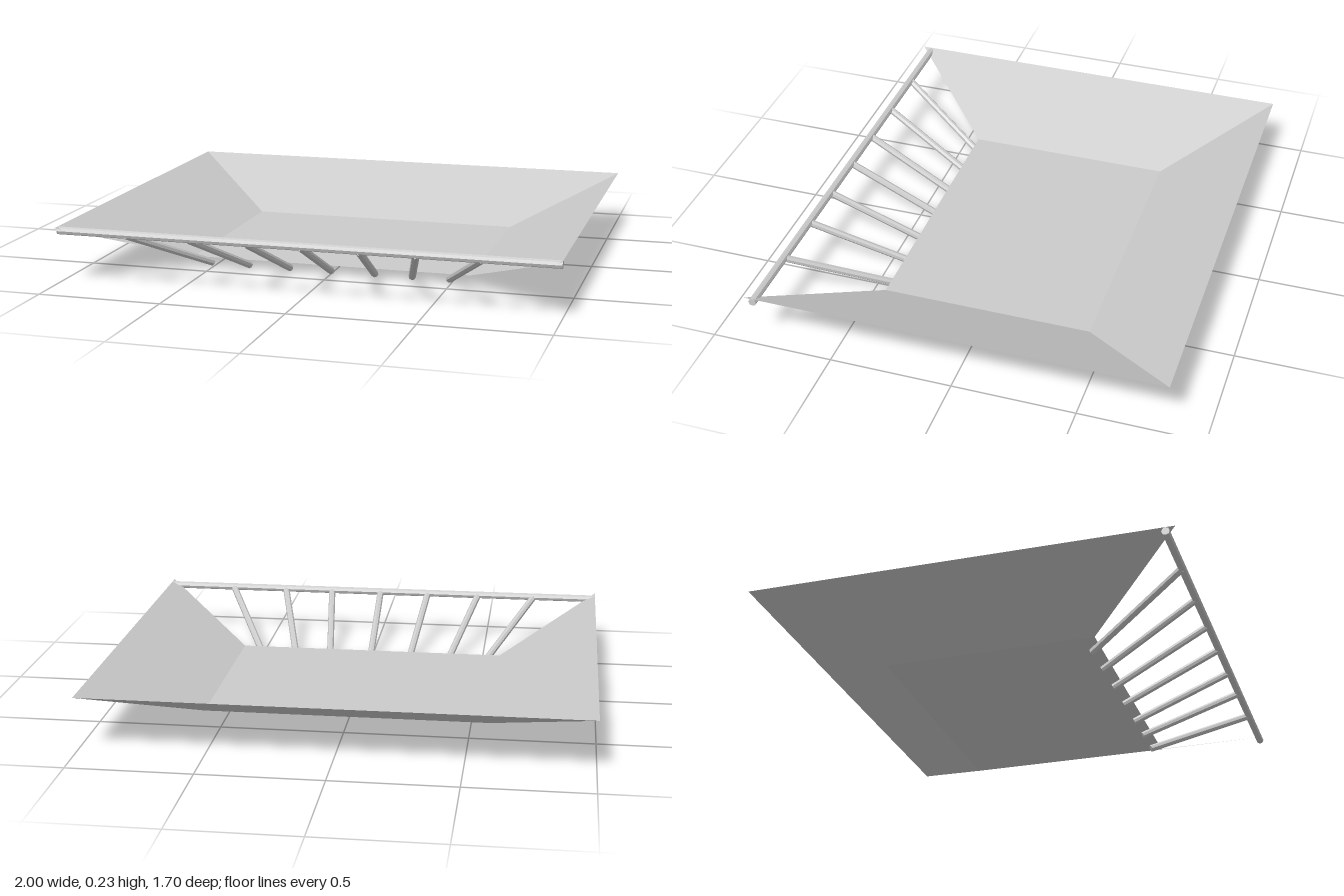
import * as THREE from 'three';

const metal = new THREE.MeshStandardMaterial({ color: 0xcccccc, flatShading: true });
const sheet = new THREE.MeshStandardMaterial({ color: 0xcccccc, flatShading: true, side: THREE.DoubleSide });

// Thin flat panel from four corners
function panel(name, a, b, c, d) {
  const geo = new THREE.BufferGeometry();
  geo.setAttribute('position', new THREE.Float32BufferAttribute([...a, ...b, ...c, ...d], 3));
  geo.setIndex([0, 1, 2, 0, 2, 3]);
  geo.computeVertexNormals();
  const mesh = new THREE.Mesh(geo, sheet);
  mesh.name = name;
  return mesh;
}

// Round rod between two points
function rod(name, from, to, radius) {
  const a = new THREE.Vector3(...from), b = new THREE.Vector3(...to);
  const dir = b.clone().sub(a);
  const mesh = new THREE.Mesh(new THREE.CylinderGeometry(radius, radius, dir.length(), 8), metal);
  mesh.position.copy(a).add(b).multiplyScalar(0.5);
  mesh.quaternion.setFromUnitVectors(new THREE.Vector3(0, 1, 0), dir.normalize());
  mesh.name = name;
  return mesh;
}

export function createModel() {
  const model = new THREE.Group();
  model.name = 'openFrontedTray';

  // Tray corners: wide rim above, smaller floor below
  const rim = (sx, sz) => [sx, 0.23, sz * 0.85];
  const base = (sx, sz) => [sx * 0.58, 0.045, sz * 0.432];

  model.add(panel('floor', base(-1, 1), base(1, 1), base(1, -1), base(-1, -1)));
  model.add(panel('backWall', base(-1, -1), base(1, -1), rim(1, -1), rim(-1, -1)));
  model.add(panel('leftWall', base(1, -1), base(1, 1), rim(1, 1), rim(1, -1)));
  model.add(panel('rightWall', base(-1, 1), base(-1, -1), rim(-1, -1), rim(-1, 1)));

  // Front rail across the open side
  model.add(rod('frontRail', [-1, 0.214, 0.813], [1, 0.214, 0.813], 0.016));

  // Sloping bars fanning out from the floor edge to the rail
  const bars = new THREE.Group();
  bars.name = 'frontBars';
  const feet = [-0.51, -0.348, -0.175, 0, 0.183, 0.338, 0.49];
  const tops = [-0.715, -0.457, -0.222, 0, 0.23, 0.45, 0.70];
  feet.forEach((x, i) => bars.add(rod('frontBar', [x, 0.016, 0.402], [tops[i], 0.21, 0.81], 0.015)));
  model.add(bars);

  return model;
}
